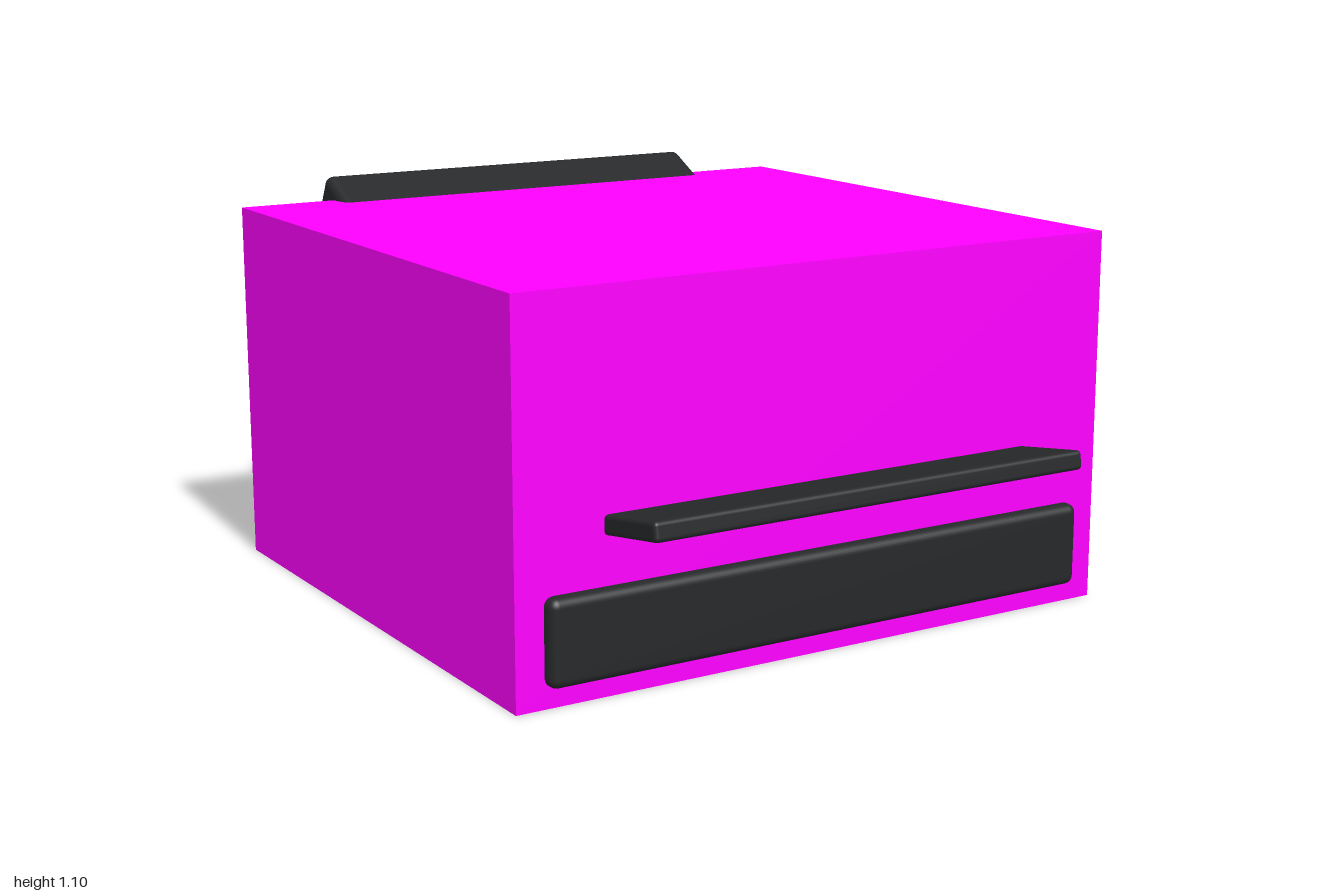
import * as THREE from 'three';
import { RoundedBoxGeometry } from 'three/addons/geometries/RoundedBoxGeometry.js';

export function createModel() {
  const model = new THREE.Group();
  const bodyMat = new THREE.MeshStandardMaterial({ color: 0xff00ff });
  const darkMat = new THREE.MeshStandardMaterial({ color: 0x26282a });

  // Adds a named part at height y and depth z, tilted about the x axis
  const add = (name, geometry, material, y, z, tilt = 0) => {
    const mesh = new THREE.Mesh(geometry, material);
    mesh.name = name;
    mesh.position.set(0, y, z);
    mesh.rotation.x = tilt;
    model.add(mesh);
  };

  // Plain block housing
  add('body', new THREE.BoxGeometry(1.82, 1.035, 1.655), bodyMat, 0.5175, -0.065);

  // Front panel, slightly proud of the housing
  add('frontPanel', new RoundedBoxGeometry(1.66, 0.23, 0.1, 4, 0.025), darkMat, 0.17, 0.75);

  // Output tray sloping up and out of the front
  add('frontTray', new RoundedBoxGeometry(1.32, 0.052, 0.4, 4, 0.012), darkMat, 0.446, 0.8, -0.16);

  // Thicker tray leaning out of the top rear edge
  add('rearTray', new RoundedBoxGeometry(1.24, 0.11, 0.4, 4, 0.025), darkMat, 0.965, -0.806, 0.48);

  return model;
}
